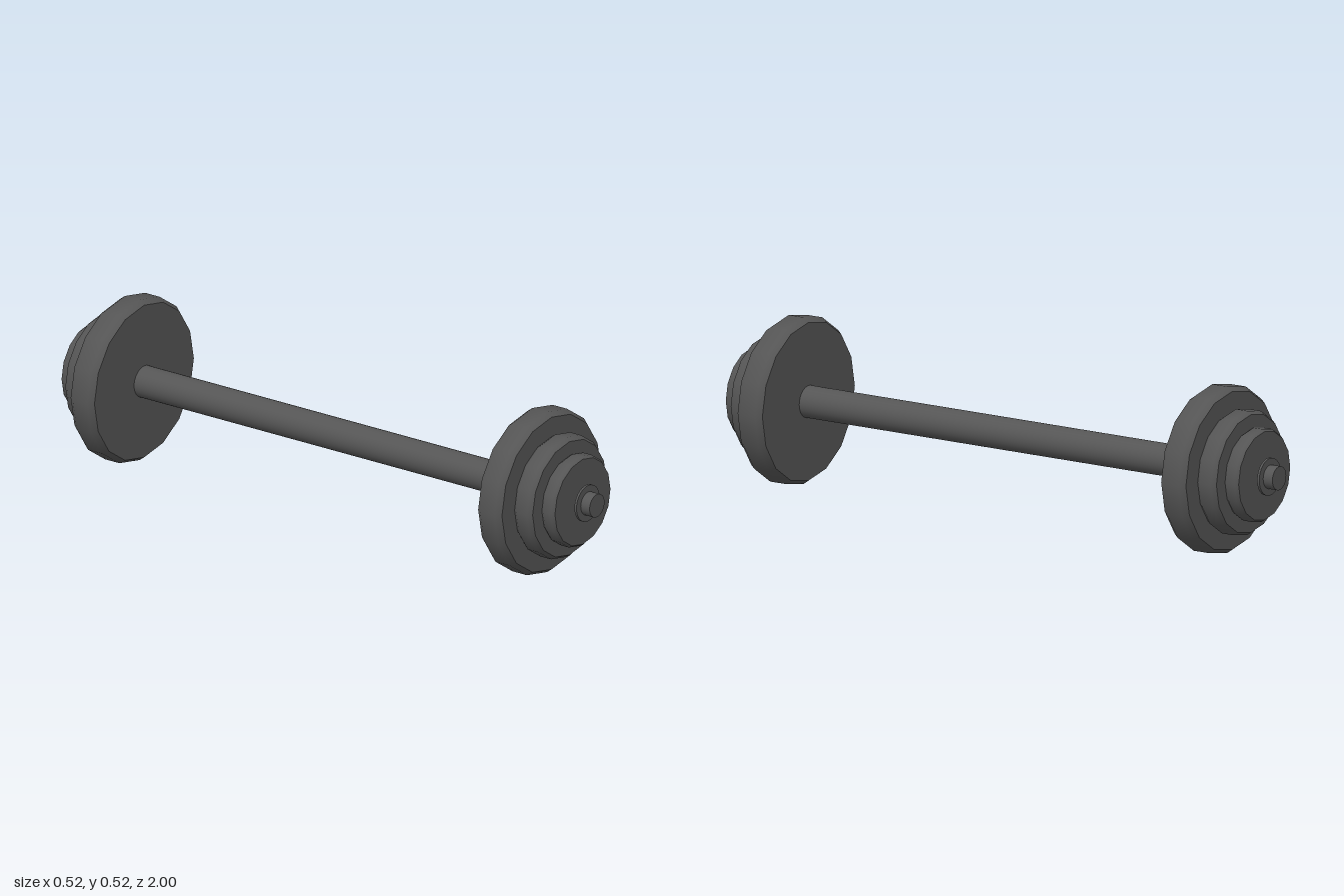
import * as THREE from 'three';
import { toCreasedNormals } from 'three/addons/utils/BufferGeometryUtils.js';

const AXIS_HEIGHT = 0.26;

// Disc along z from z0 to z1 with chamfered rims
function chamferedDisc(radius, z0, z1, inset, depth, sides) {
  const profile = [
    [0, z0], [radius - inset, z0], [radius, z0 + depth],
    [radius, z1 - depth], [radius - inset, z1], [0, z1],
  ].map(([r, z]) => new THREE.Vector2(r, z));
  const geometry = new THREE.LatheGeometry(profile, sides).rotateX(Math.PI / 2);
  return toCreasedNormals(geometry, 0.8);
}

// Plain round rod along z
function rod(radius, z0, z1, sides = 32) {
  return new THREE.CylinderGeometry(radius, radius, z1 - z0, sides)
    .rotateX(Math.PI / 2)
    .translate(0, 0, (z0 + z1) / 2);
}

export function createModel() {
  const model = new THREE.Group();
  model.name = 'barbell';
  const iron = new THREE.MeshStandardMaterial({ color: 0x555555 });
  iron.name = 'dark grey iron';

  const add = (parent, name, geometry) => {
    const mesh = new THREE.Mesh(geometry, iron);
    mesh.name = name;
    parent.add(mesh);
  };

  const barbell = new THREE.Group();
  barbell.name = 'barAndWeights';
  barbell.position.y = AXIS_HEIGHT;
  model.add(barbell);

  // Grip bar
  add(barbell, 'bar', rod(0.05, -0.74, 0.74));

  // Same stack of weights at each end
  for (const end of ['front', 'back']) {
    const stack = new THREE.Group();
    stack.name = end + 'Weights';
    if (end === 'back') stack.rotation.y = Math.PI;
    barbell.add(stack);

    add(stack, 'largePlate', chamferedDisc(0.26, 0.735, 0.826, 0.013, 0.018, 16));
    add(stack, 'mediumPlate', chamferedDisc(0.194, 0.826, 0.895, 0.01, 0.014, 16));
    add(stack, 'smallPlate', chamferedDisc(0.145, 0.895, 0.945, 0.007, 0.01, 16));
    add(stack, 'collarWasher', rod(0.058, 0.958, 0.966));
    add(stack, 'barTip', rod(0.037, 0.94, 1));
  }
  return model;
}
